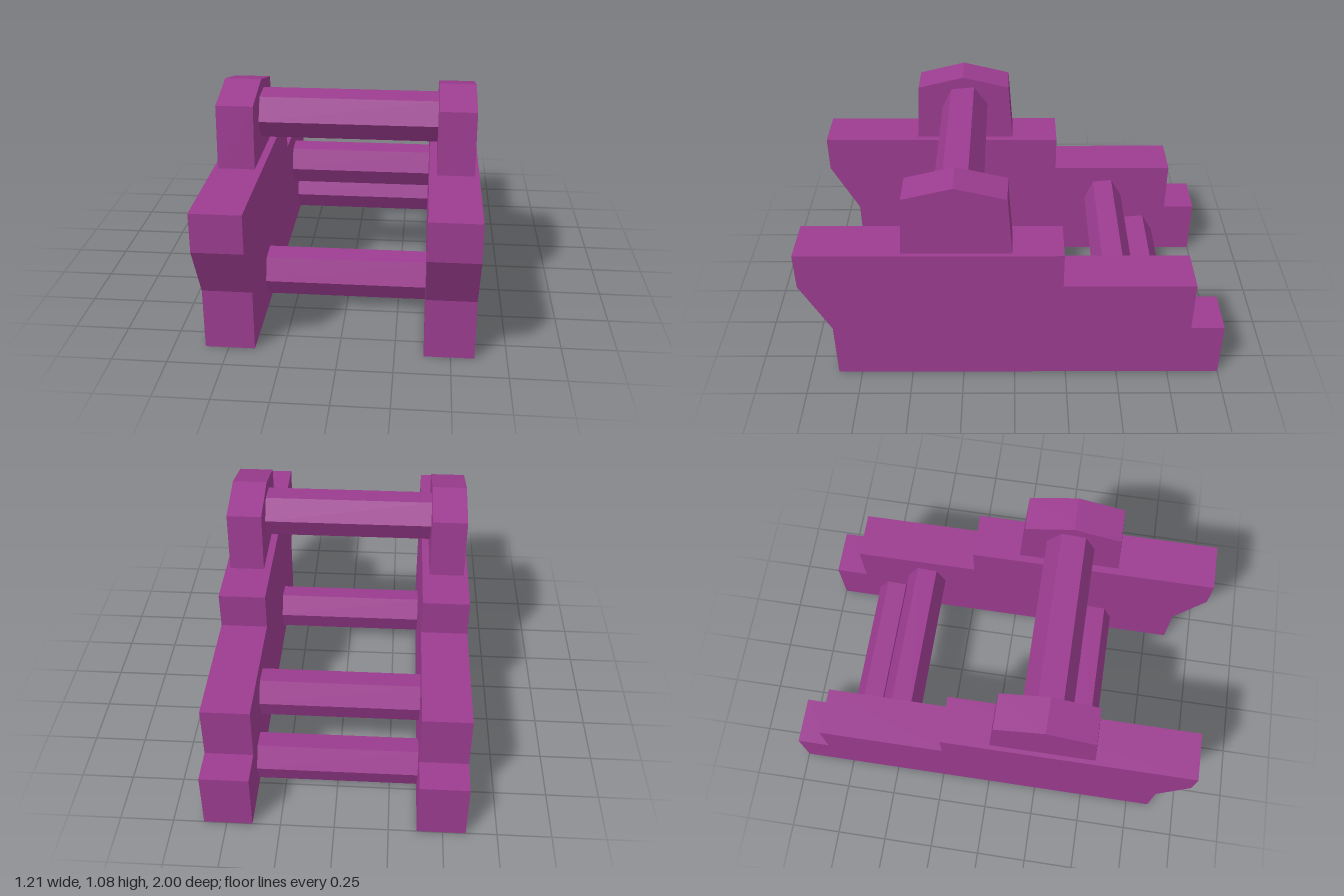
import * as THREE from 'three';

const purple = new THREE.MeshStandardMaterial({ color: 0x9c3c90 });
purple.name = 'purple';

// Extrudes a side profile of [z, y] points across x, centred on x.
function slab(name, points, width, x = 0) {
  const shape = new THREE.Shape(points.map(([z, y]) => new THREE.Vector2(z, y)));
  const geometry = new THREE.ExtrudeGeometry(shape, { depth: width, bevelEnabled: false });
  geometry.translate(0, 0, -width / 2).rotateY(-Math.PI / 2);
  const mesh = new THREE.Mesh(geometry, purple);
  mesh.name = name;
  mesh.position.x = x;
  return mesh;
}

// Slightly tilted six-sided crossbar.
function crossbar(name, z, y, zRadius, halfLength) {
  const points = [];
  for (let i = 0; i < 6; i++) {
    const a = THREE.MathUtils.degToRad(-5 + i * 60);
    points.push([z + zRadius * Math.cos(a), y + 0.118 * Math.sin(a)]);
  }
  return slab(name, points, halfLength * 2);
}

export function createModel() {
  const model = new THREE.Group();
  model.name = 'steppedFrame';

  // Stepped side walls, overhanging at the front
  const wall = [
    [0.865, 0], [0.865, 0.29], [1, 0.55], [1, 0.73], [-0.225, 0.73],
    [-0.225, 0.55], [-0.84, 0.55], [-0.84, 0.29], [-1, 0.29], [-1, 0],
  ];
  // Peaked posts that carry the top bar
  const post = [[0.515, 0.73], [0.495, 1.025], [0.265, 1.083], [0.03, 1.025], [0.01, 0.73]];

  for (const [side, s] of [['left', 1], ['right', -1]]) {
    model.add(slab(side + 'Wall', wall, 0.226, s * 0.493));
    model.add(slab(side + 'Post', post, 0.17, s * 0.5));
  }

  // Crossbars joining the two sides
  model.add(crossbar('topBar', 0.258, 0.92, 0.118, 0.42));
  model.add(crossbar('frontBar', 0.435, 0.17, 0.1, 0.385));
  model.add(crossbar('upperBackBar', -0.49, 0.363, 0.1, 0.385));
  model.add(crossbar('lowerBackBar', -0.68, 0.122, 0.1, 0.385));

  return model;
}
